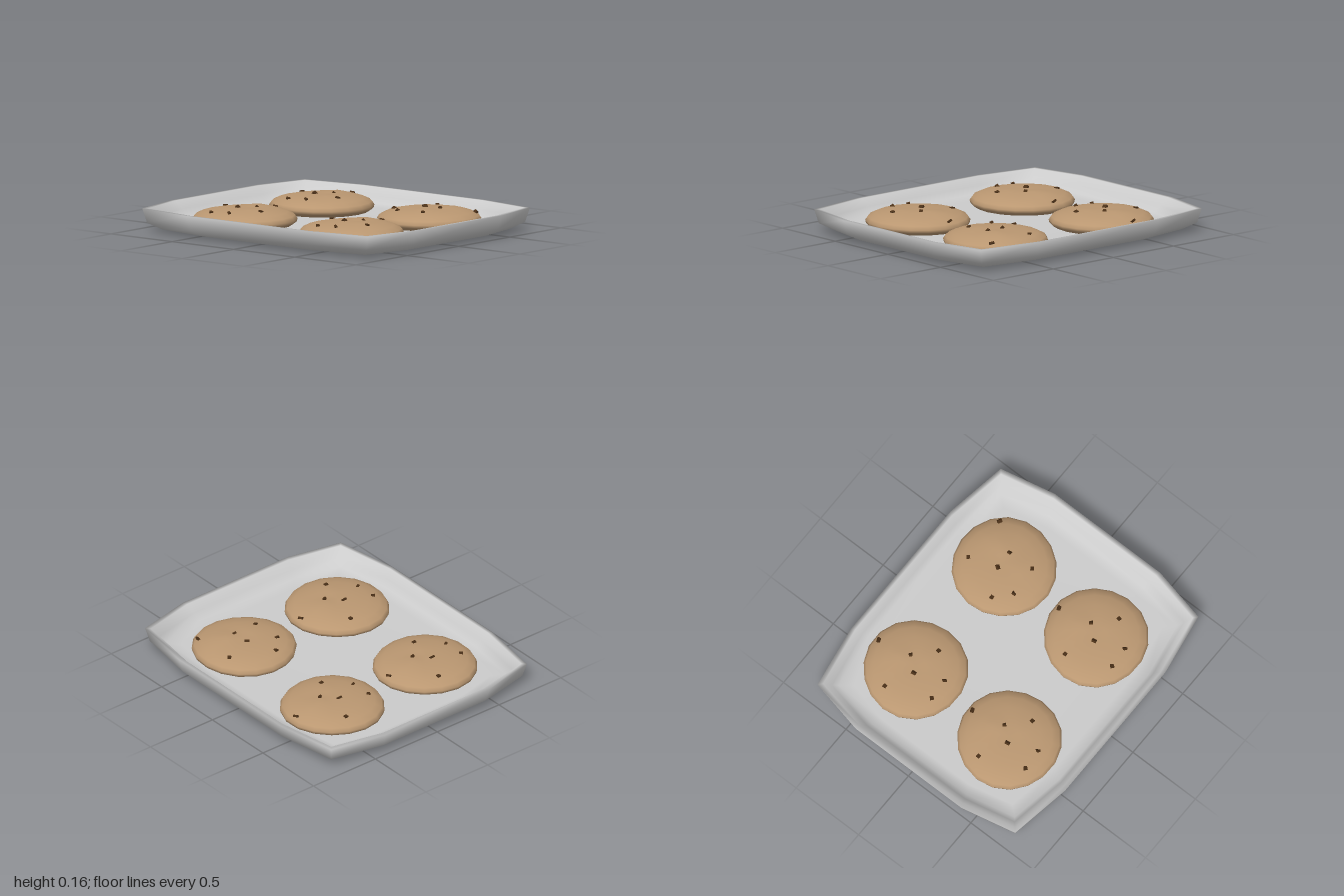
import * as THREE from 'three';
import { mergeVertices } from 'three/addons/utils/BufferGeometryUtils.js';

const metal = new THREE.MeshStandardMaterial({ color: 0xcccccc });
const dough = new THREE.MeshStandardMaterial({ color: 0xba9771 });
const chocolate = new THREE.MeshStandardMaterial({ color: 0x4a3018 });

// Twelve-sided outline with half width w and half length l, at height y
function ring([w, l, y]) {
  const quarter = [[w, 0.5 * l], [0.92 * w, 0.92 * l], [0.49 * w, l]];
  const mirrored = [...quarter].reverse();
  return [
    ...quarter,
    ...mirrored.map(([x, z]) => [-x, z]),
    ...quarter.map(([x, z]) => [-x, -z]),
    ...mirrored.map(([x, z]) => [x, -z]),
  ].map(([x, z]) => [x, y, z]);
}

// Tray: rings from the middle of the underside, over the rim, to the middle of the floor
function createTray() {
  const rings = [
    [0.49, 0.6, 0], [0.77, 0.9, 0.012], [0.84, 0.975, 0.055], [0.86, 1, 0.145],
    [0.835, 0.97, 0.145], [0.795, 0.925, 0.095], [0.765, 0.885, 0.055], [0.69, 0.82, 0.04],
  ];
  const positions = rings.flatMap((r) => ring(r).flat());
  const index = [];
  const n = 12;
  for (let r = 0; r < rings.length - 1; r++) {
    for (let i = 0; i < n; i++) {
      const a = r * n + i, b = r * n + (i + 1) % n;
      index.push(a, a + n, b, b, a + n, b + n);
    }
  }
  // Close the underside and the floor with fans
  const under = rings.length * n, floor = under + 1, last = (rings.length - 1) * n;
  positions.push(0, 0, 0, 0, 0.04, 0);
  for (let i = 0; i < n; i++) {
    const j = (i + 1) % n;
    index.push(under, i, j, floor, last + j, last + i);
  }
  const geometry = new THREE.BufferGeometry();
  geometry.setAttribute('position', new THREE.Float32BufferAttribute(positions, 3));
  geometry.setIndex(index);
  geometry.computeVertexNormals();
  const tray = new THREE.Mesh(geometry, metal);
  tray.name = 'bakingTray';
  return tray;
}

// Cookie profile as [radius, height], from base to crown
const profile = [
  [0, 0.038], [0.29, 0.038], [0.325, 0.06], [0.33, 0.08], [0.315, 0.102],
  [0.27, 0.123], [0.2, 0.137], [0.12, 0.144], [0.06, 0.146], [0, 0.146],
];

// Soft lumps on the upper surface
const lump = (x, z) =>
  0.012 * Math.exp(-((x - 0.15) ** 2 + (z + 0.02) ** 2) / 0.006) +
  0.006 * Math.exp(-((x + 0.03) ** 2 + (z - 0.12) ** 2) / 0.006);

function surfaceHeight(x, z) {
  const r = Math.hypot(x, z);
  for (let i = 3; i < profile.length - 1; i++) {
    const [r0, y0] = profile[i], [r1, y1] = profile[i + 1];
    if (r <= r0 && r >= r1) return y0 + (y1 - y0) * (r0 - r) / (r0 - r1) + lump(x, z);
  }
  return 0.1;
}

function createCookieGeometry() {
  let geometry = new THREE.LatheGeometry(profile.map(([r, y]) => new THREE.Vector2(r, y)), 18);
  geometry.deleteAttribute('uv');
  geometry.deleteAttribute('normal');
  geometry = mergeVertices(geometry, 1e-4);
  const p = geometry.attributes.position;
  for (let i = 0; i < p.count; i++) {
    const x = p.getX(i), z = p.getZ(i), a = Math.atan2(z, x);
    const wobble = 1 + 0.012 * Math.sin(3 * a + 1);
    const y = p.getY(i);
    p.setXYZ(i, x * wobble, y > 0.11 ? y + lump(x, z) : y, z * wobble);
  }
  geometry.computeVertexNormals();
  return geometry;
}

const chips = [
  [0.07, -0.22], [-0.21, -0.1], [-0.02, -0.04], [-0.2, 0.04],
  [0.07, 0.04], [-0.05, 0.17], [0.29, 0],
];

function createCookie(cookieGeometry, chipGeometry) {
  const cookie = new THREE.Group();
  const body = new THREE.Mesh(cookieGeometry, dough);
  body.name = 'cookieBody';
  cookie.add(body);
  chips.forEach(([x, z], i) => {
    const chip = new THREE.Mesh(chipGeometry, chocolate);
    chip.name = 'chocolateChip';
    chip.position.set(x, surfaceHeight(x, z), z);
    chip.rotation.set(0.2 * i, 0.9 * i, 0.15 * i);
    const size = i === 2 || i === 6 ? 1.35 : 1;
    chip.scale.set(size, 0.6, size);
    cookie.add(chip);
  });
  return cookie;
}

export function createModel() {
  const model = new THREE.Group();
  model.name = 'trayOfCookies';
  model.add(createTray());

  // Four cookies in two rows, one of them turned
  const cookieGeometry = createCookieGeometry();
  const chipGeometry = new THREE.BoxGeometry(0.023, 0.023, 0.023);
  const places = [
    ['backLeftCookie', 0.39, -0.44, 0], ['backRightCookie', -0.36, -0.44, 0],
    ['frontLeftCookie', 0.38, 0.44, -0.8], ['frontRightCookie', -0.36, 0.43, 0],
  ];
  for (const [name, x, z, turn] of places) {
    const cookie = createCookie(cookieGeometry, chipGeometry);
    cookie.name = name;
    cookie.position.set(x, 0, z);
    cookie.rotation.y = turn;
    model.add(cookie);
  }
  return model;
}
